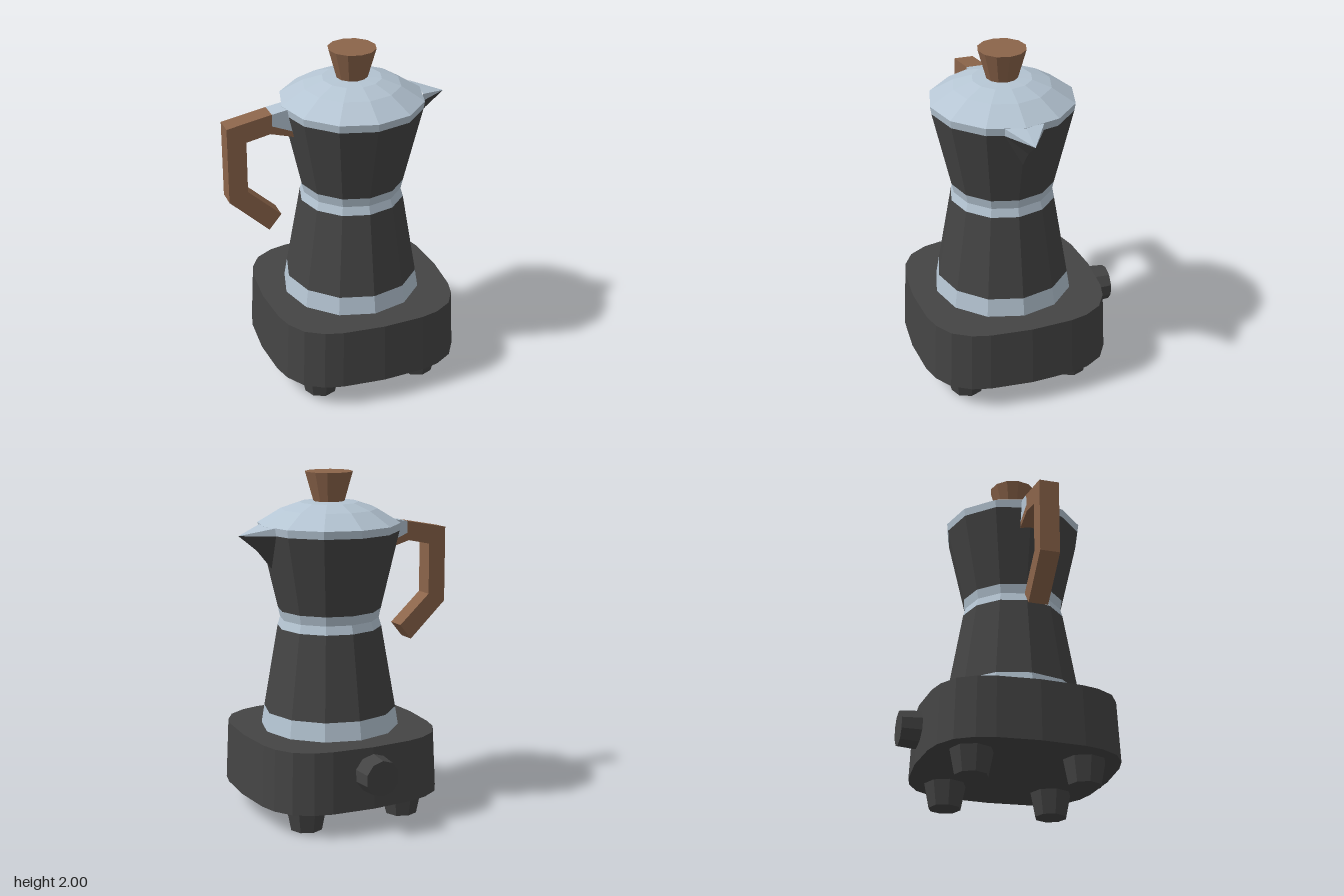
import * as THREE from 'three';

const CX = 0.09, CZ = 0.05; // vertical axis shared by pot and stove

export function createModel() {
  const group = new THREE.Group();
  const mat = (name, color) => {
    const m = new THREE.MeshStandardMaterial({ color });
    m.name = name;
    return m;
  };
  const dark = mat('charcoal', 0x444444);
  const metal = mat('brushedMetal', 0xb5c5d3);
  const wood = mat('wood', 0x8b644a);

  // Adds a faceted mesh, placed relative to the pot axis
  function add(name, geometry, material, x = 0, y = 0, z = 0) {
    const g = geometry.index ? geometry.toNonIndexed() : geometry;
    g.computeVertexNormals();
    const mesh = new THREE.Mesh(g, material);
    mesh.name = name;
    mesh.position.set(CX + x, y, CZ + z);
    group.add(mesh);
    return mesh;
  }
  const lathe = (name, profile, material) =>
    add(name, new THREE.LatheGeometry(profile.map(p => new THREE.Vector2(...p)), 12), material);

  // Stove body: rounded square, narrowing slightly upward
  const corner = [[0.57, 0], [0.552, 0.25], [0.525, 0.355], [0.46, 0.46], [0.355, 0.525], [0.25, 0.552]];
  const outline = [];
  for (let q = 0; q < 4; q++) {
    for (const [x, y] of corner) {
      outline.push(new THREE.Vector2(x, y).rotateAround(new THREE.Vector2(), q * Math.PI / 2));
    }
  }
  const H = 0.358;
  const stove = new THREE.ExtrudeGeometry(new THREE.Shape(outline), { depth: H, bevelEnabled: false });
  const sp = stove.attributes.position;
  for (let i = 0; i < sp.count; i++) {
    const s = 1 - 0.028 * sp.getZ(i) / H;
    sp.setXY(i, sp.getX(i) * s, sp.getY(i) * s);
  }
  stove.rotateX(-Math.PI / 2);
  add('stoveBody', stove, dark, 0, 0.144, 0);

  // Feet
  for (const sx of [-1, 1]) {
    for (const sz of [-1, 1]) {
      add('foot', new THREE.CylinderGeometry(0.125, 0.095, 0.15, 8), dark, sx * 0.31, 0.075, sz * 0.322);
    }
  }

  // Dial at the back of the stove
  const dial = new THREE.CylinderGeometry(0.115, 0.104, 0.14, 10);
  dial.rotateX(Math.PI / 2);
  add('dial', dial, dark, 0, 0.35, -0.6);

  // Pot
  lathe('bottomBand', [[0.408, 0.5], [0.39, 0.61]], metal);
  lathe('lowerChamber', [[0.39, 0.61], [0.305, 1.1]], dark);
  lathe('waistBand', [[0.305, 1.1], [0.29, 1.15], [0.302, 1.205]], metal);
  lathe('upperChamber', [[0.302, 1.205], [0.408, 1.66]], dark);
  lathe('lid', [[0.408, 1.66], [0.415, 1.705], [0.28, 1.787], [0.17, 1.825], [0, 1.837]], metal);

  // Lid knob
  add('knob', new THREE.CylinderGeometry(0.138, 0.09, 0.17, 12), wood, 0, 1.915, 0);

  // Spout: one half is defined and mirrored across its centre plane
  const tip = [0.565, 1.66, 0], ridge = [0.41, 1.705, 0];
  const rim = [0.39, 1.705, 0.11], edge = [0.383, 1.66, 0.11];
  const keel = [0.455, 1.57, 0], root = [0.365, 1.46, 0];
  function spoutPart(name, triangles, material) {
    const points = [];
    for (const [a, b, c] of triangles) {
      const flip = p => [p[0], p[1], -p[2]];
      points.push(...a, ...b, ...c, ...flip(a), ...flip(c), ...flip(b));
    }
    const g = new THREE.BufferGeometry();
    g.setAttribute('position', new THREE.Float32BufferAttribute(points, 3));
    add(name, g, material);
  }
  spoutPart('spoutTop', [[ridge, rim, tip], [rim, edge, tip]], metal);
  spoutPart('spoutUnderside', [[edge, keel, tip], [edge, root, keel]], dark);

  // Handle and its bracket, extruded across z
  function slab(name, points, material) {
    const shape = new THREE.Shape(points.map(([x, y]) => new THREE.Vector2(x - CX, y)));
    const g = new THREE.ExtrudeGeometry(shape, { depth: 0.115, bevelEnabled: false });
    add(name, g, material, 0, 0, -0.0575);
  }
  slab('handleBracket', [[-0.4, 1.69], [-0.4, 1.62], [-0.265, 1.565], [-0.28, 1.705], [-0.31, 1.705]], metal);
  slab('handle', [
    [-0.4, 1.69], [-0.66, 1.64], [-0.66, 1.19], [-0.43, 0.975], [-0.357, 1.065], [-0.55, 1.24],
    [-0.55, 1.545], [-0.41, 1.575], [-0.27, 1.535], [-0.265, 1.565], [-0.4, 1.62],
  ], wood);

  return group;
}
